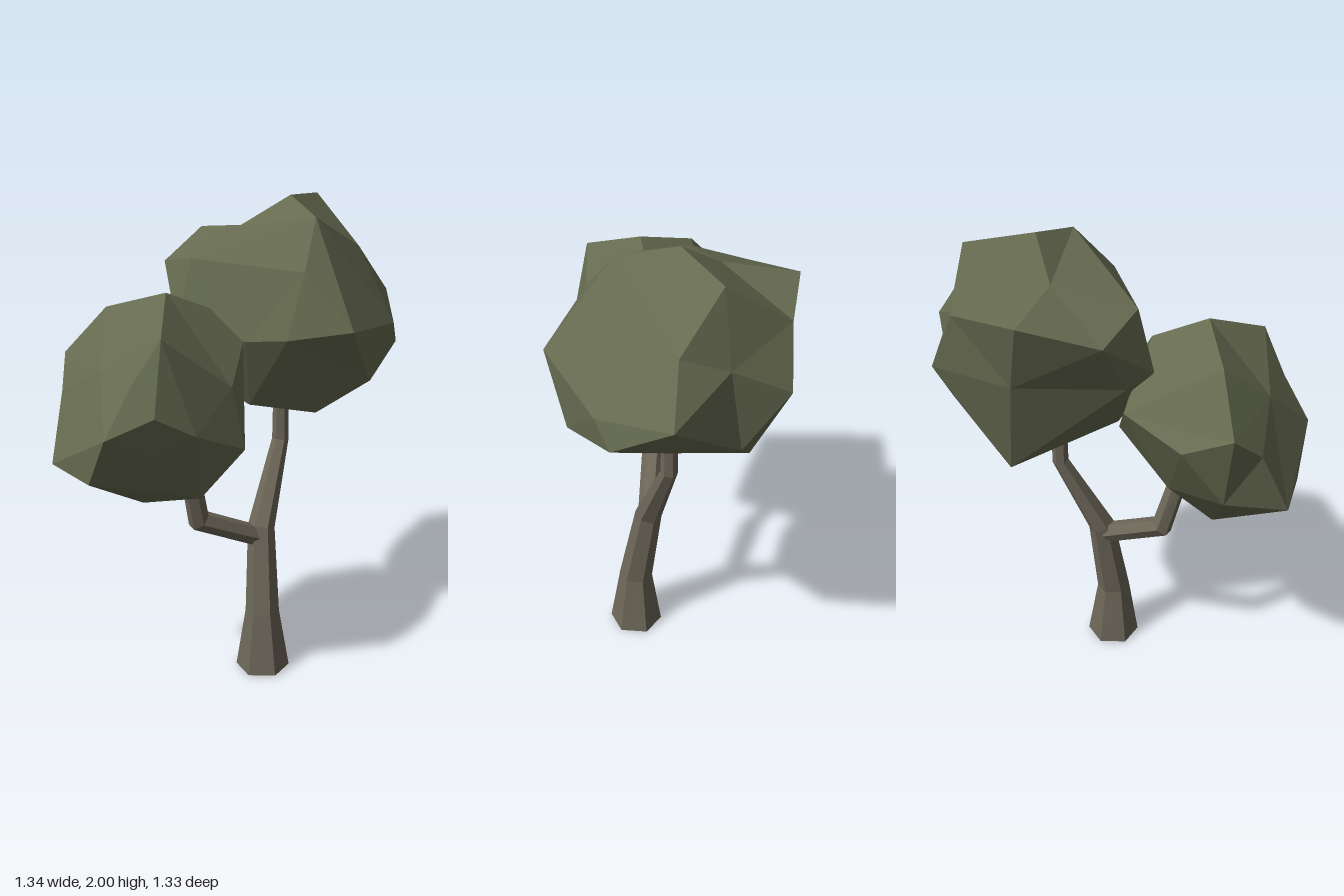
import * as THREE from 'three';
import { ConvexGeometry } from 'three/addons/geometries/ConvexGeometry.js';

const bark = new THREE.MeshStandardMaterial({ color: 0x6d6759, flatShading: true });
const leaf = new THREE.MeshStandardMaterial({ color: 0x666b50, flatShading: true });

const vec = (p) => new THREE.Vector3(p[0], p[1], p[2]);

// Hexagonal limb swept through joints given as [x, y, z, radius], capped at both ends
function limb(name, joints, sides = 6) {
  const pts = joints.map(vec);
  const up = new THREE.Vector3(0, 1, 0);
  const pos = [];
  const index = [];
  pts.forEach((p, i) => {
    const tangent = new THREE.Vector3();
    if (i > 0) tangent.add(p.clone().sub(pts[i - 1]).normalize());
    if (i < pts.length - 1) tangent.add(pts[i + 1].clone().sub(p).normalize());
    const turn = new THREE.Quaternion().setFromUnitVectors(up, tangent.normalize());
    for (let s = 0; s < sides; s++) {
      const a = (s / sides) * Math.PI * 2;
      const v = new THREE.Vector3(Math.cos(a), 0, Math.sin(a)).multiplyScalar(joints[i][3]);
      pos.push(...v.applyQuaternion(turn).add(p).toArray());
    }
  });
  for (let i = 0; i < pts.length - 1; i++) {
    for (let s = 0; s < sides; s++) {
      const a = i * sides + s;
      const b = i * sides + ((s + 1) % sides);
      index.push(a, a + sides, b, b, a + sides, b + sides);
    }
  }
  const last = (pts.length - 1) * sides;
  for (let s = 1; s < sides - 1; s++) {
    index.push(0, s, s + 1, last, last + s + 1, last + s);
  }
  const geo = new THREE.BufferGeometry();
  geo.setAttribute('position', new THREE.Float32BufferAttribute(pos, 3));
  geo.setIndex(index);
  const flat = geo.toNonIndexed();
  flat.computeVertexNormals();
  const mesh = new THREE.Mesh(flat, bark);
  mesh.name = name;
  return mesh;
}

// Faceted leaf mass: corners are joined on a unit sphere around the centre,
// then moved out to their true places so shallow dents survive
function crown(name, centre, corners) {
  const c = vec(centre);
  const pts = corners.map(vec);
  const dirs = pts.map((p) => p.clone().sub(c).normalize());
  const geo = new ConvexGeometry(dirs);
  const pos = geo.attributes.position;
  const v = new THREE.Vector3();
  for (let i = 0; i < pos.count; i++) {
    v.fromBufferAttribute(pos, i);
    let best = 0;
    dirs.forEach((d, k) => { if (d.dot(v) > dirs[best].dot(v)) best = k; });
    pos.setXYZ(i, pts[best].x, pts[best].y, pts[best].z);
  }
  geo.computeVertexNormals();
  const mesh = new THREE.Mesh(geo, leaf);
  mesh.name = name;
  return mesh;
}

export function createModel() {
  const tree = new THREE.Group();
  tree.name = 'tree';

  // Trunk leaning back into the upper crown, and the side branch
  tree.add(limb('trunk', [
    [0.137, 0, 0.08, 0.115], [0.133, 0.27, 0.078, 0.072], [0.123, 0.64, 0.012, 0.057],
    [0.196, 0.98, -0.145, 0.035], [0.196, 1.3, -0.15, 0.032],
  ]));
  tree.add(limb('branch', [
    [0.1, 0.605, 0.03, 0.045], [-0.13, 0.735, 0.168, 0.048], [-0.17, 1.08, 0.255, 0.038],
  ]));

  // Upper crown
  tree.add(crown('upperCrown', [0.2, 1.54, -0.2], [
    // top
    [0.22, 2.0, -0.21], [0.33, 1.97, -0.46], [0.32, 1.95, 0.0], [0.02, 1.87, -0.25],
    // shoulders
    [0.12, 1.79, -0.61], [-0.16, 1.82, -0.48], [-0.29, 1.73, -0.2], [-0.16, 1.79, 0.02],
    [0.28, 1.77, 0.16], [0.51, 1.76, -0.4],
    // middle
    [0.2, 1.56, -0.67], [0.37, 1.68, -0.52], [0.64, 1.56, -0.47], [0.67, 1.4, -0.22],
    [0.65, 1.5, -0.14], [0.47, 1.56, 0.23], [0.22, 1.52, 0.22], [0.06, 1.5, 0.17],
    [-0.22, 1.54, 0.06], [-0.22, 1.5, -0.06], [-0.05, 1.53, -0.46],
    // underside
    [0.55, 1.32, 0.07], [0.34, 1.15, -0.01], [0.07, 1.19, 0.02], [0.3, 1.16, -0.2],
    [0.06, 1.11, -0.43], [0.33, 1.34, -0.55], [-0.05, 1.26, 0.0],
  ]));

  // Lower crown
  tree.add(crown('lowerCrown', [-0.3, 1.28, 0.29], [
    // top
    [-0.23, 1.72, 0.29], [-0.22, 1.62, 0.56], [-0.47, 1.64, 0.2], [-0.08, 1.62, 0.13],
    // middle
    [-0.65, 1.44, 0.14], [-0.64, 1.33, 0.28], [-0.55, 1.42, 0.09], [-0.52, 1.36, 0.0],
    [-0.25, 1.42, -0.09], [0.05, 1.5, 0.17], [0.02, 1.39, 0.39], [-0.24, 1.35, 0.64],
    [-0.42, 1.27, 0.66], [-0.33, 1.45, 0.59], [-0.46, 1.46, 0.43], [-0.1, 1.26, 0.57],
    // underside
    [-0.67, 1.07, 0.4], [-0.5, 1.06, 0.57], [-0.27, 1.17, 0.57], [0.07, 1.15, 0.41],
    [0.0, 1.2, 0.03], [-0.02, 1.1, 0.1], [-0.1, 0.94, 0.4], [-0.22, 0.98, 0.45],
    [-0.34, 0.86, 0.28], [-0.28, 1.04, 0.1], [-0.58, 1.12, 0.16],
  ]));

  return tree;
}
